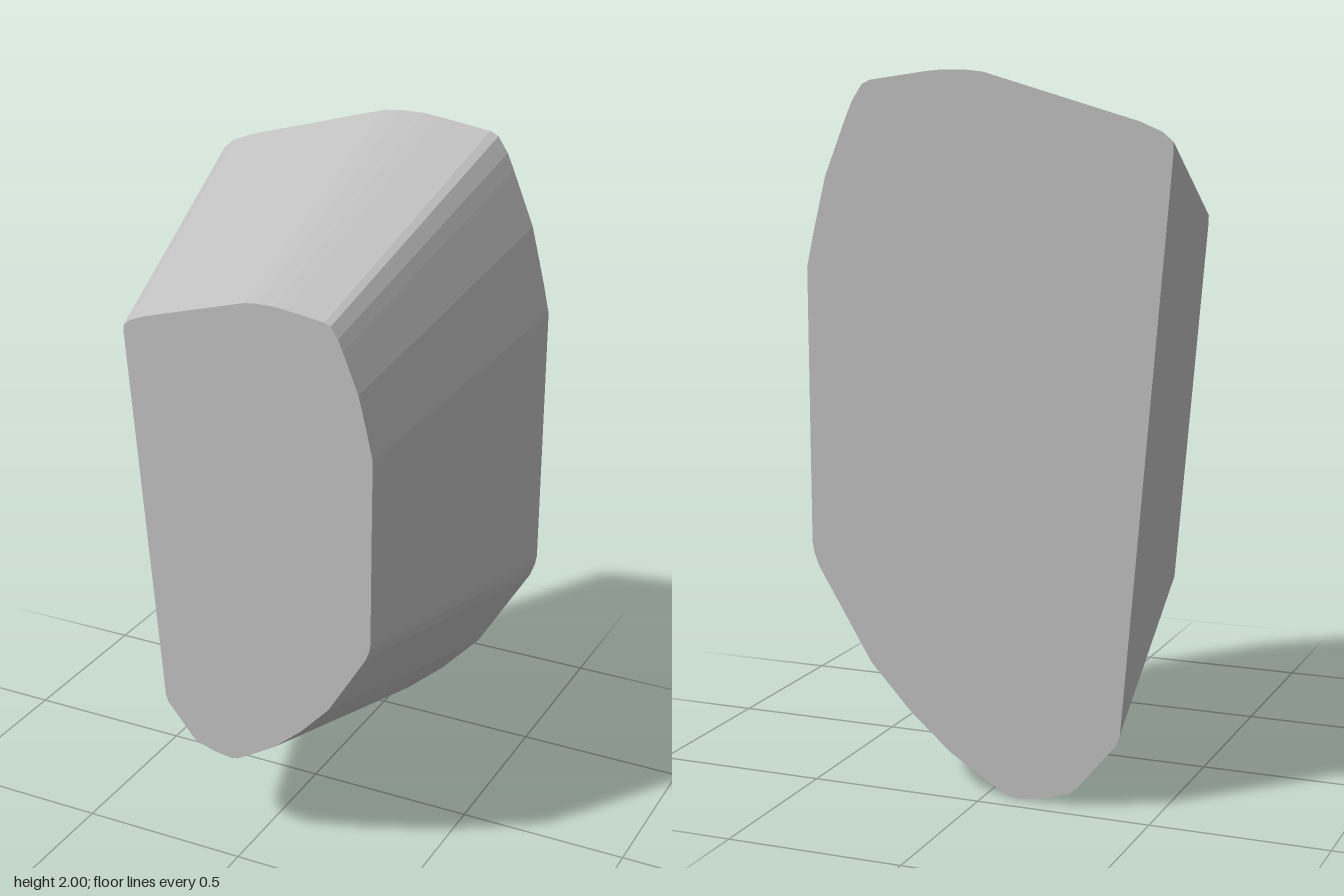
import * as THREE from 'three';

// Outline of the large rear face, clockwise from the upper left corner
const OUTLINE = [
  [-0.53, 1.79], [-0.53, 1.82], [-0.50, 1.845], [-0.44, 1.87],
  [0, 1.995], [0.05, 2], [0.12, 2], [0.17, 1.995],
  [0.33, 1.972], [0.355, 1.96], [0.385, 1.915], [0.405, 1.87],
  [0.47, 1.71], [0.51, 1.55], [0.53, 1.46],
  [0.53, 0.68], [0.525, 0.65], [0.51, 0.61],
  [0.35, 0.345], [0.23, 0.215], [0.11, 0.11], [0.03, 0.06], [-0.06, 0.007],
  [-0.09, 0], [-0.17, 0.01], [-0.25, 0.035], [-0.27, 0.052],
  [-0.385, 0.19], [-0.395, 0.22],
];
const DEPTH = 0.88;

export function createModel() {
  const group = new THREE.Group();
  group.name = 'taperedBlock';

  const stone = new THREE.MeshStandardMaterial({ color: 0xbfbfbf });
  stone.name = 'light grey';

  const shape = new THREE.Shape(OUTLINE.map(([x, y]) => new THREE.Vector2(x, y)));
  const geometry = new THREE.ExtrudeGeometry(shape, { depth: DEPTH, bevelEnabled: false });

  // Shrink the front face so that the sides slope inwards
  const p = geometry.attributes.position;
  for (let i = 0; i < p.count; i++) {
    if (p.getZ(i) > DEPTH / 2) {
      p.setXY(i, 0.015 + 0.705 * p.getX(i), 0.288 + 0.701 * p.getY(i));
    }
  }
  geometry.translate(0, 0, -DEPTH / 2);
  geometry.computeVertexNormals();

  const body = new THREE.Mesh(geometry, stone);
  body.name = 'body';
  group.add(body);
  return group;
}
